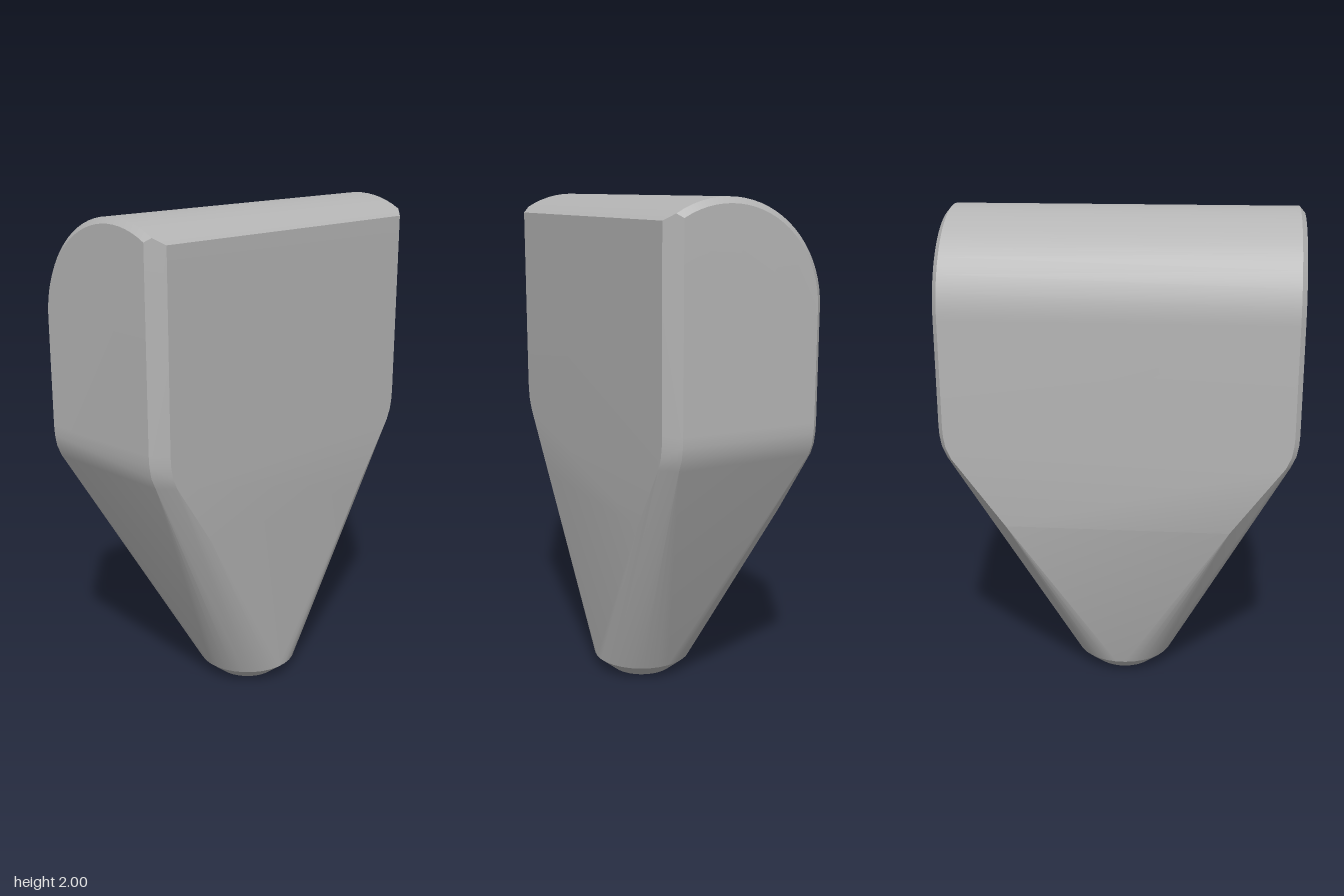
import * as THREE from 'three';
import { ConvexGeometry } from 'three/addons/geometries/ConvexGeometry.js';
import { toCreasedNormals } from 'three/addons/utils/BufferGeometryUtils.js';

export function createModel() {
  const group = new THREE.Group();
  group.name = 'taperedBlock';
  const grey = new THREE.MeshStandardMaterial({ color: 0xb4b4b4 });
  grey.name = 'plain grey';

  const points = [];
  const mirrored = (x, y, z) => {
    points.push(new THREE.Vector3(x, y, z), new THREE.Vector3(-x, y, z));
  };

  // Rounded top: a wide arc, and a smaller one on each end for the bevel
  const arcY = 1.6, arcZ = 0.08;
  const arc = (radius, x, zFront) => {
    const start = Math.acos((zFront - arcZ) / radius);
    for (let i = 0; i <= 24; i++) {
      const a = start + (Math.PI - start) * i / 24;
      mirrored(x, arcY + radius * Math.sin(a), arcZ + radius * Math.cos(a));
    }
  };
  arc(0.398, 0.69, 0.283);
  arc(0.375, 0.71, 0.263);
  mirrored(0.655, 1.918, 0.318);

  // Bend from the upright ends into the sloping sides, with bevelled edges
  for (const [x, y] of [[0.71, 1.17], [0.708, 1.13], [0.7, 1.085], [0.68, 1.04]]) {
    mirrored(x, y, 0.263);
    mirrored(x - 0.055, y, 0.318);
    mirrored(x, y, -0.295);
    mirrored(x - 0.02, y, -0.318);
  }

  // Lower limits of the flat back and front faces
  mirrored(0.45, 0.76, -0.318);
  mirrored(0.45, 0.78, 0.313);

  // Round foot with a chamfer
  for (const [radius, y] of [[0.205, 0.06], [0.132, 0]]) {
    for (let i = 0; i < 32; i++) {
      const a = (i + 0.5) / 32 * Math.PI * 2;
      points.push(new THREE.Vector3(radius * Math.cos(a), y, 0.072 + radius * Math.sin(a)));
    }
  }

  const body = new THREE.Mesh(toCreasedNormals(new ConvexGeometry(points), 0.3), grey);
  body.name = 'body';
  group.add(body);
  return group;
}
